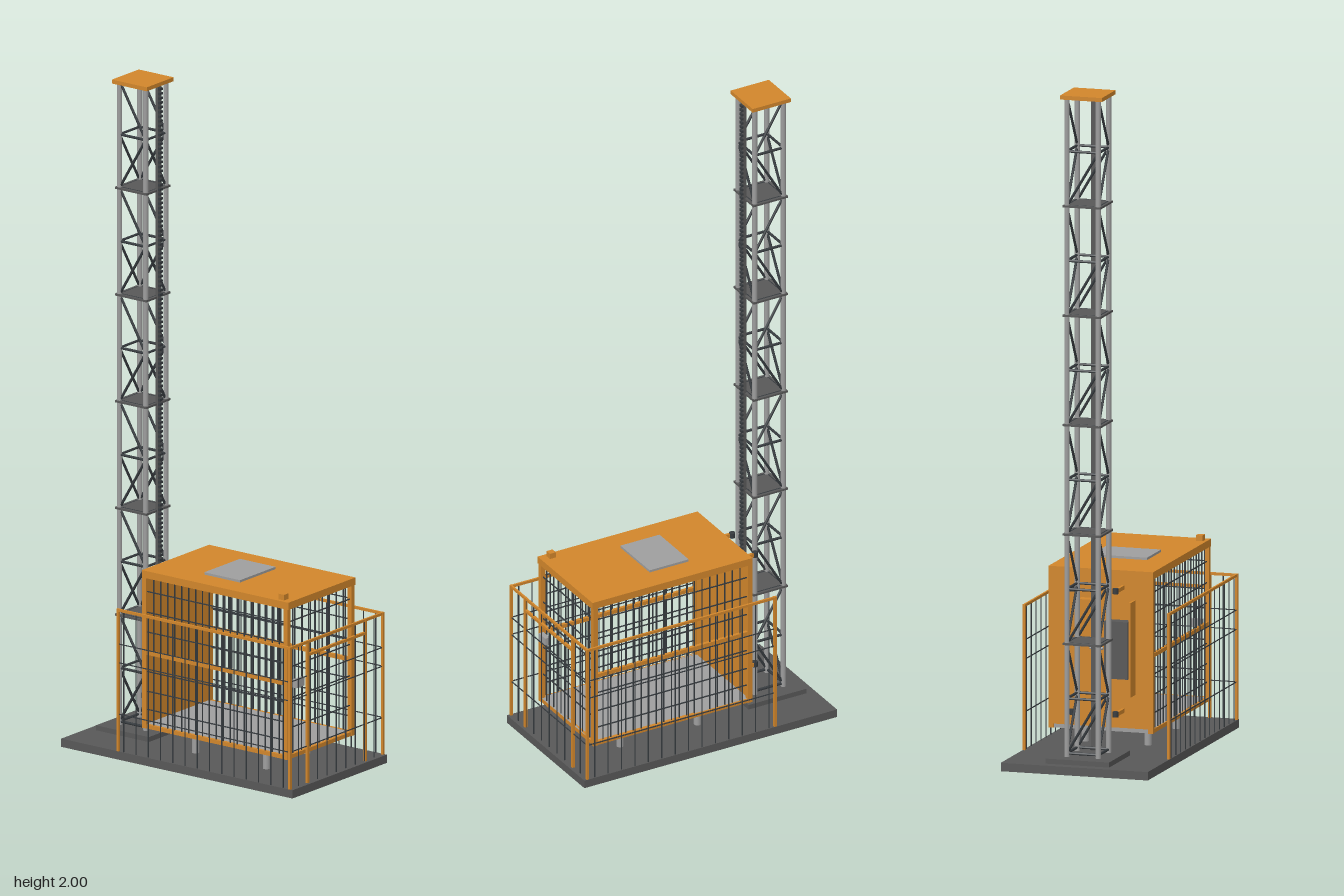
import * as THREE from 'three';
import { mergeGeometries } from 'three/addons/utils/BufferGeometryUtils.js';

const mat = (name, color) => {
  const m = new THREE.MeshStandardMaterial({ color });
  m.name = name;
  return m;
};

export function createModel() {
  const model = new THREE.Group();
  model.name = 'constructionHoist';
  const orange = mat('safetyOrange', 0xd1862b);
  const slabGrey = mat('darkGrey', 0x585858);
  const steel = mat('lightSteel', 0x9e9e9e);
  const wire = mat('wireGrey', 0x373c40);

  // box from its limits on each axis
  const box = (x0, x1, y0, y1, z0, z1) =>
    new THREE.BoxGeometry(x1 - x0, y1 - y0, z1 - z0)
      .translate((x0 + x1) / 2, (y0 + y1) / 2, (z0 + z1) / 2);
  // round bar between two points
  const rod = (a, b, r, sides = 6) => {
    const p = new THREE.Vector3(...a), q = new THREE.Vector3(...b);
    const d = q.clone().sub(p);
    const g = new THREE.CylinderGeometry(r, r, d.length(), sides);
    g.applyQuaternion(new THREE.Quaternion().setFromUnitVectors(
      new THREE.Vector3(0, 1, 0), d.normalize()));
    return g.translate((p.x + q.x) / 2, (p.y + q.y) / 2, (p.z + q.z) / 2);
  };
  const add = (name, material, ...geos) => {
    const mesh = new THREE.Mesh(mergeGeometries(geos.flat()), material);
    mesh.name = name;
    model.add(mesh);
  };
  const range = (n, a, b) => Array.from({ length: n }, (_, i) => a + (b - a) * i / (n - 1));
  const both = (f) => [f(1), f(-1)].flat();

  // ground slab and mast footing
  const MX = -0.298, L = 0.048;
  add('baseSlab', slabGrey, box(-0.424, 0.424, 0, 0.025, -0.225, 0.225));
  add('mastFooting', slabGrey, box(MX - 0.097, MX + 0.097, 0.025, 0.04, -0.097, 0.097));

  // lattice mast: four legs, six sections
  add('mastLegs', steel, both(sx => both(sz =>
    rod([MX + sx * L, 0.04, sz * L], [MX + sx * L, 1.99, sz * L], 0.008, 10))));
  const braces = [], plates = [], S = 0.3242, Y0 = 0.05;
  for (let i = 0; i < 6; i++) {
    const y = Y0 + i * S, m = y + S / 2, t = y + S;
    for (const h of [y, m]) {
      for (const s of [1, -1]) {
        braces.push(rod([MX - L, h, s * L], [MX + L, h, s * L], 0.004));
        braces.push(rod([MX + s * L, h, -L], [MX + s * L, h, L], 0.004));
      }
    }
    for (const s of [1, -1]) {
      braces.push(rod([MX - L, t, s * L], [MX + L, m, s * L], 0.004));
      braces.push(rod([MX + L, m, s * L], [MX - L, y, s * L], 0.004));
      braces.push(rod([MX + s * L, m, L], [MX + s * L, y, -L], 0.004));
    }
    if (i > 0) plates.push(box(MX - 0.058, MX + 0.058, y - 0.003, y + 0.003, -0.058, 0.058));
  }
  add('mastBraces', wire, braces);
  add('mastJointPlates', slabGrey, plates);
  add('mastCap', orange, box(MX - 0.064, MX + 0.064, 1.988, 2, -0.064, 0.064));

  // toothed rack on the cage side of the mast
  add('rackBar', slabGrey, box(-0.245, -0.236, 0.04, 1.988, -0.008, 0.008));
  add('rackTeeth', wire, range(140, 0.05, 1.98).map(y =>
    box(-0.236, -0.23, y - 0.0035, y + 0.0035, -0.007, 0.007)));

  // cage shell
  const X0 = -0.178, X1 = 0.359, Z = 0.16;
  add('cageFloor', steel, box(-0.172, 0.353, 0.088, 0.1, -0.154, 0.154));
  add('cageRoof', orange, box(X0, X1, 0.545, 0.567, -Z, Z));
  add('roofHatch', steel, box(-0.007, 0.124, 0.567, 0.574, -0.085, 0.085));
  add('roofBeacon', orange, box(0.315, 0.335, 0.567, 0.584, 0.129, 0.149));
  add('cageBackWall', orange, box(X0 + 0.002, -0.168, 0.1, 0.545, -0.145, 0.145));
  add('cagePosts', orange, both(s => [
    box(X0, -0.163, 0.088, 0.545, s * 0.1525 - 0.0075, s * 0.1525 + 0.0075),
    box(0.341, 0.356, 0.088, 0.545, s * 0.1525 - 0.0075, s * 0.1525 + 0.0075)]));
  add('cageRails', orange,
    both(s => [0.094, 0.318].map(y =>
      box(-0.165, 0.343, y - 0.006, y + 0.006, s * 0.153 - 0.005, s * 0.153 + 0.005))),
    box(0.343, 0.354, 0.088, 0.1, -0.15, 0.15));

  // wire mesh on the cage sides and door
  add('cageSideMesh', wire, both(s => [
    ...range(19, -0.14, 0.32).map(x =>
      box(x - 0.0015, x + 0.0015, 0.1, 0.545, s * 0.153 - 0.0015, s * 0.153 + 0.0015)),
    ...[0.145, 0.2, 0.26, 0.38, 0.44, 0.503].map(y =>
      box(-0.165, 0.343, y - 0.0015, y + 0.0015, s * 0.153 - 0.0015, s * 0.153 + 0.0015))]));
  add('cageDoorMesh', wire,
    range(7, -0.125, 0.125).map(z => box(0.347, 0.35, 0.1, 0.545, z - 0.0015, z + 0.0015)),
    [0.18, 0.27, 0.365, 0.42, 0.503].map(y =>
      box(0.347, 0.35, y - 0.0015, y + 0.0015, -0.15, 0.15)));
  add('doorLatch', steel, box(0.354, 0.37, 0.303, 0.327, 0.096, 0.134));

  // drive unit and guide arms between cage and mast
  add('drivePanel', orange, box(-0.207, X0 + 0.002, 0.2, 0.48, -0.06, -0.018));
  add('controlBox', slabGrey, box(-0.209, X0 + 0.002, 0.25, 0.42, 0.02, 0.092));
  add('drivePinion', steel,
    new THREE.CylinderGeometry(0.013, 0.013, 0.012, 14).translate(-0.218, 0.34, 0),
    rod([-0.218, 0.34, -0.02], [-0.218, 0.34, 0.02], 0.004, 8));
  add('guideArms', orange, [0.152, 0.517].map(y => both(s =>
    box(-0.235, X0 + 0.002, y - 0.006, y + 0.006, s * 0.068 - 0.004, s * 0.068 + 0.004))).flat());
  add('guideRollers', wire, [0.152, 0.517].map(y => both(s =>
    rod([-0.24, y - 0.008, s * 0.066], [-0.24, y + 0.008, s * 0.066], 0.009, 12))).flat());
  add('wallRibs', orange,
    box(-0.22, X0 + 0.002, 0.2, 0.48, 0.098, 0.105));

  // landing buffers under the cage
  add('buffers', steel, [-0.03, 0.23].map(x => both(s =>
    rod([x, 0.025, s * 0.096], [x, 0.075, s * 0.096], 0.011, 14))).flat());
  add('bufferPads', slabGrey, [-0.03, 0.23].map(x => both(s =>
    rod([x, 0.074, s * 0.096], [x, 0.088, s * 0.096], 0.016, 14))).flat());

  // ground enclosure fence, open towards the mast
  const FX0 = -0.218, FX1 = 0.412, FZ = 0.221, R = 0.004;
  const post = (x, z) => box(x - R, x + R, 0.025, 0.457, z - R, z + R);
  add('fencePosts', orange, both(s => [post(FX0, s * FZ), post(FX1, s * FZ), post(FX1, s * 0.138)]));
  add('fenceTopRails', orange,
    both(s => box(FX0, FX1, 0.449, 0.457, s * FZ - 0.003, s * FZ + 0.003)),
    box(FX1 - 0.003, FX1 + 0.003, 0.449, 0.457, -FZ, FZ),
    box(FX1 - R, FX1 + R, 0.41, 0.418, -0.138, 0.138));
  const wires = [0.137, 0.293, 0.35], W = 0.0013;
  add('fenceMesh', wire,
    both(s => [
      ...range(14, FX0 + 0.02, FX1 - 0.025).map(x =>
        box(x - W, x + W, 0.025, 0.45, s * FZ - W, s * FZ + W)),
      ...wires.map(y => box(FX0, FX1, y - W, y + W, s * FZ - W, s * FZ + W))]),
    range(9, -0.18, 0.18).map(z => box(FX1 - W, FX1 + W, 0.025, 0.45, z - W, z + W)),
    wires.map(y => box(FX1 - W, FX1 + W, y - W, y + W, -FZ, FZ)));

  return model;
}
